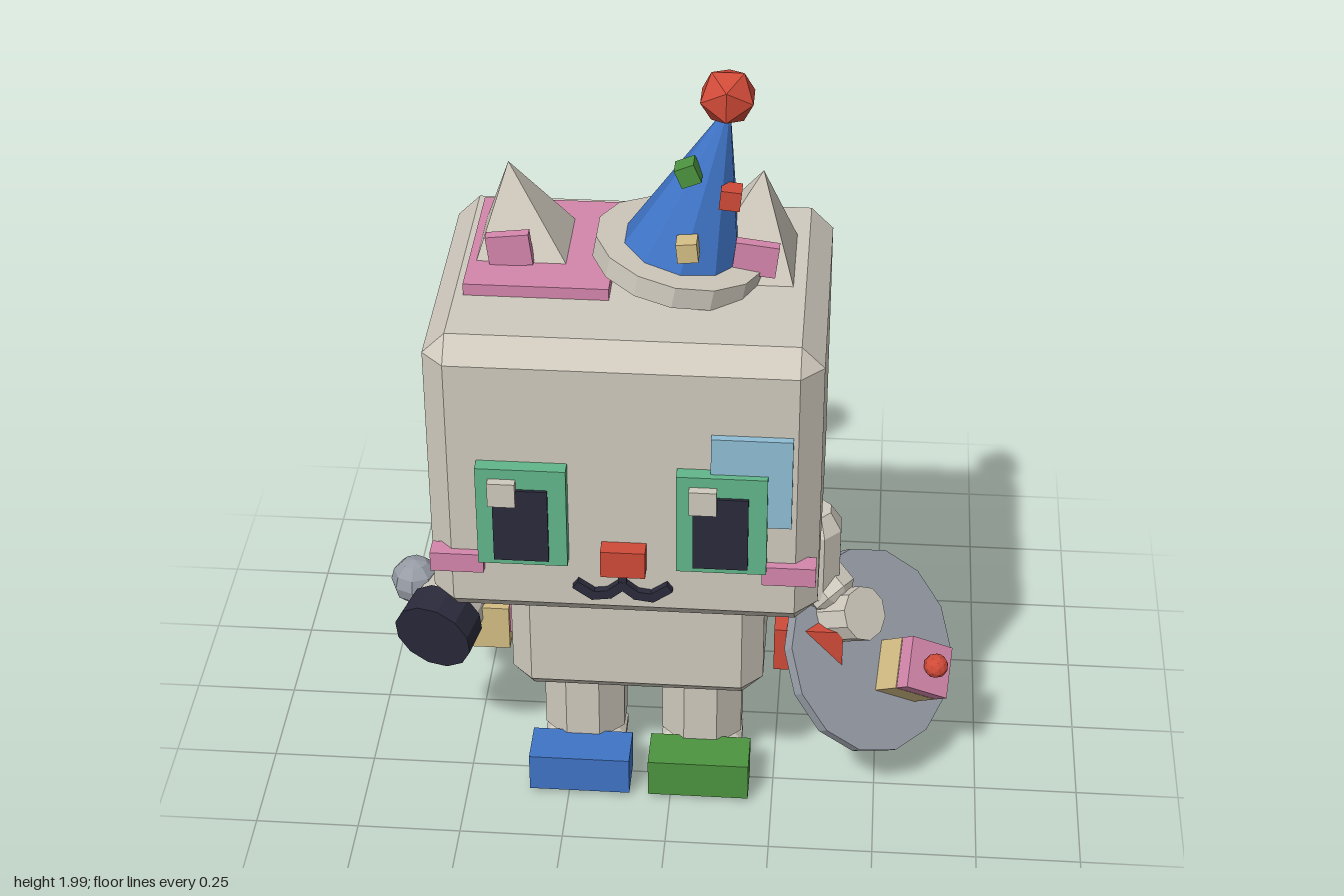
import * as THREE from 'three';
import { ConvexGeometry } from 'three/addons/geometries/ConvexGeometry.js';

const mat = (name, color) => Object.assign(new THREE.MeshStandardMaterial({ color }), { name });
const V = (x, y, z) => new THREE.Vector3(x, y, z);
const UP = V(0, 1, 0);
const CX = -0.077; // mirror plane of the figure

export function createModel() {
  const model = new THREE.Group();
  model.name = 'partyRobotCat';
  const cream = mat('cream', 0xd0cabe), blue = mat('blue', 0x3f74c6), green = mat('green', 0x4c943f);
  const red = mat('red', 0xd04a38), pink = mat('pink', 0xd486ab), tan = mat('tan', 0xd4bd84);
  const dark = mat('dark', 0x2b2a3b), sky = mat('sky', 0x8fbdd4), mint = mat('mint', 0x62b68a);
  const grey = mat('grey', 0x979ca5);

  // Every mesh gets faceted normals
  function add(name, geo, material, pos = [0, 0, 0], parent = model) {
    const g = geo.index ? geo.toNonIndexed() : geo;
    g.computeVertexNormals();
    const m = new THREE.Mesh(g, material);
    m.name = name;
    m.position.set(...pos);
    parent.add(m);
    return m;
  }
  // Box given by its limits on each axis
  const box = (name, material, [x0, x1], [y0, y1], [z0, z1]) =>
    add(name, new THREE.BoxGeometry(x1 - x0, y1 - y0, z1 - z0), material,
      [(x0 + x1) / 2, (y0 + y1) / 2, (z0 + z1) / 2]);
  const gem = (name, material, r, pos) => add(name, new THREE.IcosahedronGeometry(r, 0), material, pos);

  // Box with all edges cut off
  function chamferBox(w, h, d, c) {
    const pts = [];
    for (const x of [-1, 1]) for (const y of [-1, 1]) for (const z of [-1, 1]) {
      const p = [x * w / 2, y * h / 2, z * d / 2], s = [x, y, z];
      for (let k = 0; k < 3; k++) pts.push(V(...p.map((v, i) => (i === k ? v : v - s[i] * c))));
    }
    return new ConvexGeometry(pts);
  }
  // Faceted limb between two points with bevelled ends
  function limb(name, a, b, r, c = 0.045, sides = 8, material = cream) {
    const A = V(...a), dir = V(...b).sub(A), L = dir.length();
    const profile = [[0, 0], [r * 0.6, 0], [r, c], [r, L - c], [r * 0.6, L], [0, L]]
      .map(([x, y]) => new THREE.Vector2(x, y));
    const geo = new THREE.LatheGeometry(profile, sides, Math.PI / sides);
    const m = add(name, geo, material, a);
    m.quaternion.setFromUnitVectors(UP, dir.normalize());
    return m;
  }
  // Plain cylinder between two points
  function rod(name, material, a, b, r0, r1 = r0, sides = 12) {
    const A = V(...a), B = V(...b), dir = B.clone().sub(A);
    const m = add(name, new THREE.CylinderGeometry(r1, r0, dir.length(), sides), material,
      A.clone().add(B).multiplyScalar(0.5).toArray());
    m.quaternion.setFromUnitVectors(UP, dir.normalize());
    return m;
  }

  // Head and body
  add('head', chamferBox(0.855, 0.715, 0.685, 0.05), cream, [CX, 1.155, 0.328]);
  add('body', chamferBox(0.6, 0.605, 0.468, 0.05), cream, [CX, 0.643, 0.147]);

  // Patches
  box('facePatch', sky, [0.115, 0.29], [1.09, 1.315], [0.66, 0.688]);
  box('leftSidePatch', sky, [0.21, 0.25], [0.605, 0.94], [-0.02, 0.235]);
  box('backPatch', sky, [-0.12, 0.12], [0.41, 0.72], [-0.115, -0.08]);
  box('rightSidePatch', pink, [-0.405, -0.37], [0.385, 0.625], [0.0, 0.2]);

  // Eyes
  for (const x of [-0.293, 0.14]) {
    box('eyeFrame', mint, [x - 0.098, x + 0.098], [0.975, 1.225], [0.66, 0.703]);
    box('pupil', dark, [x - 0.062, x + 0.058], [0.99, 1.175], [0.7, 0.71]);
    box('eyeGlint', cream, [x - 0.07, x - 0.01], [1.14, 1.2], [0.7, 0.723]);
  }

  // Nose, mouth and cheeks
  box('nose', red, [-0.123, -0.025], [0.955, 1.022], [0.66, 0.71]);
  box('mouthStem', dark, [CX - 0.009, CX + 0.009], [0.9, 0.96], [0.66, 0.687]);
  for (const s of [-1, 1]) {
    const curve = [[0, 0.915], [0.03, 0.89], [0.065, 0.885], [0.1, 0.91]];
    for (let i = 0; i < 3; i++) {
      const [x0, y0] = curve[i], [x1, y1] = curve[i + 1];
      const m = add('mouthCurve', new THREE.BoxGeometry(Math.hypot(x1 - x0, y1 - y0) + 0.01, 0.022, 0.027),
        dark, [CX + s * (x0 + x1) / 2, (y0 + y1) / 2, 0.674]);
      m.rotation.z = s * Math.atan2(y1 - y0, x1 - x0);
    }
    const cx = CX + s * 0.364;
    box('cheek', pink, [cx - 0.059, cx + 0.059], [0.937, 0.985], [0.645, 0.69]);
  }

  // Ears: square pyramids with the tip leaning outward
  box('earPlate', pink, [-0.435, -0.12], [1.5, 1.54], [0.09, 0.465]);
  for (const s of [-1, 1]) {
    const x = CX + s * 0.237;
    const geo = new THREE.ConeGeometry(0.163, 0.23, 4).rotateY(Math.PI / 4);
    const p = geo.attributes.position;
    for (let i = 0; i < p.count; i++) if (p.getY(i) > 0.1) p.setX(i, s * 0.04);
    add('ear', geo, cream, [x, 1.62, 0.268]);
    const inner = add('innerEar', new THREE.BoxGeometry(0.095, 0.075, 0.025), pink, [x + s * 0.03, 1.575, 0.368]);
    inner.rotation.z = -s * 0.12;
  }

  // Party hat
  const brim = add('hatBrim', new THREE.CylinderGeometry(0.19, 0.19, 0.05, 14), cream, [0.022, 1.553, 0.32]);
  brim.rotation.z = -0.18;
  rod('hatCone', blue, [0.025, 1.55, 0.325], [0.127, 1.92, 0.325], 0.14, 0.002, 10);
  gem('hatPompom', red, 0.066, [0.123, 1.938, 0.32]);
  [[green, 0.045, 1.79, 0.385], [red, 0.135, 1.73, 0.378], [tan, 0.048, 1.637, 0.445]].forEach(([c, x, y, z], i) => {
    const m = add('hatConfetti', new THREE.BoxGeometry(0.045, 0.045, 0.045), c, [x, y, z]);
    m.rotation.z = [0.4, -0.1, 0.1][i];
  });

  // Legs and shoes
  for (const [s, c] of [[-1, blue], [1, green]]) {
    const x = CX + s * 0.145;
    limb('leg', [x, 0.07, 0.15], [x, 0.42, 0.15], 0.106, 0.03);
    limb('foot', [x, 0, 0.15], [x, 0.11, 0.15], 0.108, 0.045);
    const sx = CX + s * 0.146;
    box('shoe', c, [sx - 0.123, sx + 0.123], [0.012, 0.113], [0.235, 0.345]);
  }

  // Arms
  for (const s of [-1, 1]) {
    const x = CX + s * 0.408;
    limb('shoulder', [CX + s * 0.29, 0.68, 0.15], [x + s * 0.01, 0.68, 0.15], 0.065, 0.03);
    limb('upperArm', [x, 0.49, 0.15], [x, 0.76, 0.15], 0.07);
  }
  limb('leftForearm', [0.33, 0.57, 0.13], [0.4, 0.51, 0.18], 0.062, 0.02);
  rod('leftHand', cream, [0.37, 0.44, 0.15], [0.46, 0.51, 0.225], 0.066, 0.066, 10);
  limb('rightForearm', [-0.485, 0.56, 0.14], [-0.53, 0.45, 0.18], 0.062, 0.02);
  box('leftCuff', red, [0.245, 0.41], [0.347, 0.467], [0.19, 0.25]);
  box('rightCuff', tan, [-0.55, -0.4], [0.35, 0.47], [0.16, 0.22]);

  // Shield with a stacked block emblem, built along its own y axis
  const n = V(0.62, 0.57, 0.54).normalize();
  const t = V(0.78, -0.52, -0.34);
  t.addScaledVector(n, -t.dot(n)).normalize();
  const shield = new THREE.Group();
  shield.name = 'shield';
  shield.position.set(0.475, 0.352, 0.165);
  shield.quaternion.setFromRotationMatrix(new THREE.Matrix4().makeBasis(t, n, t.clone().cross(n)));
  model.add(shield);
  add('shieldDisc', new THREE.CylinderGeometry(0.25, 0.25, 0.03, 14), grey, [0, 0, 0], shield);
  const local = (x, y, z) => {
    shield.updateMatrixWorld(true);
    return shield.worldToLocal(V(x, y, z)).toArray();
  };
  add('shieldBlock', new THREE.BoxGeometry(0.125, 0.1, 0.125), tan, local(0.565, 0.31, 0.185), shield);
  add('shieldCap', new THREE.BoxGeometry(0.125, 0.04, 0.125), pink, local(0.61, 0.352, 0.225), shield);
  add('shieldStud', new THREE.IcosahedronGeometry(0.03, 1), red, local(0.636, 0.378, 0.247), shield);

  // Banded torch and ball-headed wand in the right hand
  const a = V(-0.515, 0.475, 0.1), b = V(-0.575, 0.44, 0.305);
  const at = k => a.clone().lerp(b, k).toArray();
  rod('torchBack', dark, at(0), at(0.3), 0.07, 0.08);
  rod('torchBand', cream, at(0.3), at(0.62), 0.082, 0.088);
  rod('torchFront', dark, at(0.62), at(1), 0.095, 0.098);
  rod('wandHandle', dark, [-0.48, 0.42, 0.085], [-0.62, 0.49, 0.14], 0.035, 0.045, 8);
  add('wandBall', new THREE.SphereGeometry(0.06, 8, 6), grey, [-0.635, 0.497, 0.153]);

  // Back beads
  [red, tan, green, blue].forEach((c, i) => gem('backBead', c, 0.076, [CX, 0.88 - i * 0.124, -0.155]));

  // Tail
  const tail = [[-0.075, 0.435, -0.04], [-0.08, 0.385, -0.27], [-0.09, 0.405, -0.45],
    [-0.085, 0.525, -0.605], [-0.05, 0.79, -0.66], [0.0, 0.995, -0.635]];
  for (let i = 0; i < tail.length - 1; i++) {
    const p = V(...tail[i]), q = V(...tail[i + 1]), d = q.clone().sub(p).normalize().multiplyScalar(0.02);
    limb('tailSegment', p.sub(d).toArray(), (i < 4 ? q.add(d) : q).toArray(), 0.088 - i * 0.006, 0.04, 7);
  }
  return model;
}
